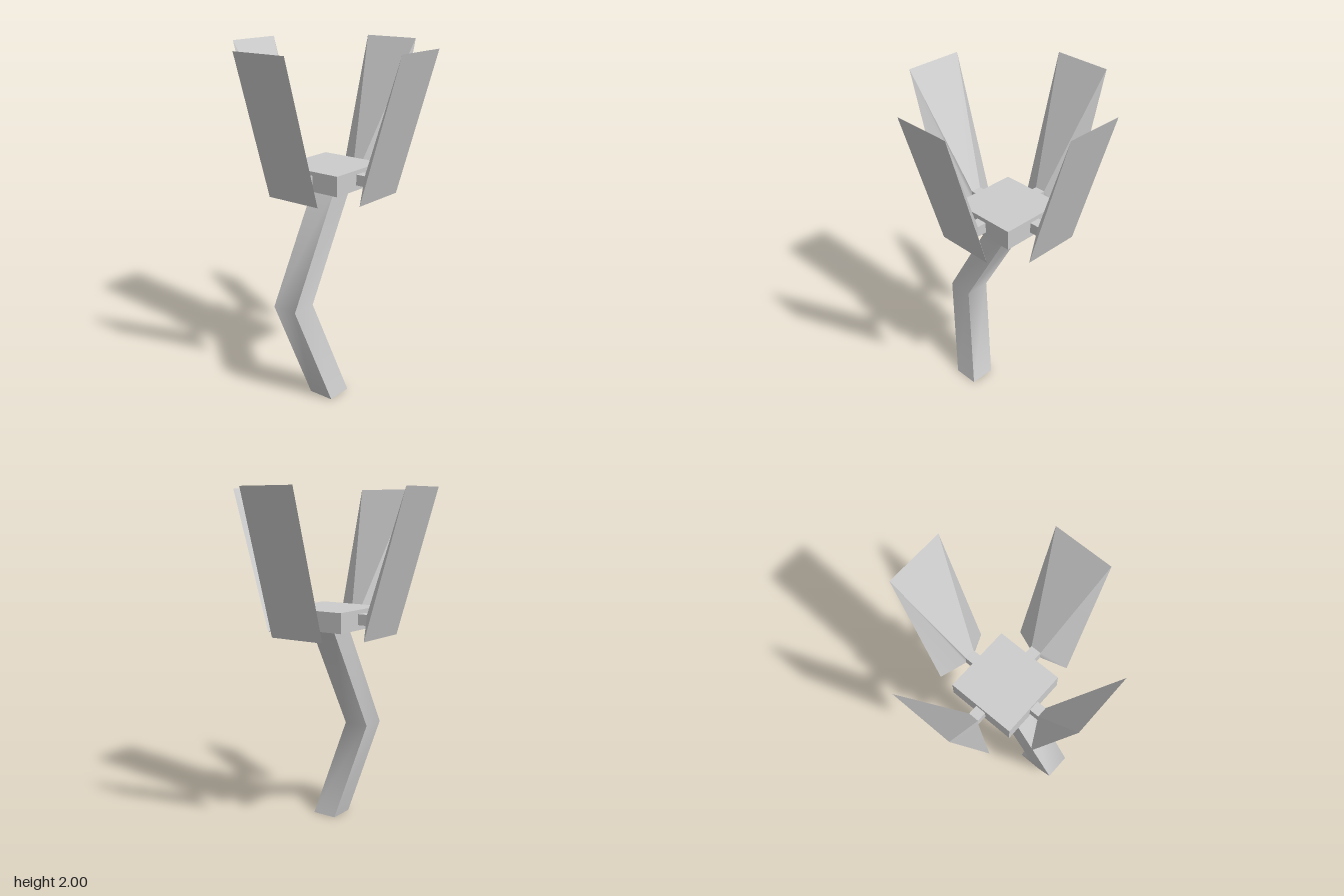
import * as THREE from 'three';

const material = new THREE.MeshStandardMaterial({ color: 0xcccccc });

// Joins four-cornered sections; corners run counter-clockwise seen from the last section.
// Each side is its own strip, so long edges stay sharp while bends shade smoothly.
function loft(sections) {
  const pos = [], index = [];
  const last = sections.length - 1;
  for (let j = 0; j < 4; j++) {
    const start = pos.length / 3;
    for (const s of sections) pos.push(...s[j], ...s[(j + 1) % 4]);
    for (let i = 0; i < last; i++) {
      const a = start + i * 2;
      index.push(a, a + 1, a + 3, a, a + 3, a + 2);
    }
  }
  for (const cap of [[...sections[0]].reverse(), sections[last]]) {
    const a = pos.length / 3;
    pos.push(...cap.flat());
    index.push(a, a + 1, a + 2, a, a + 2, a + 3);
  }
  const geo = new THREE.BufferGeometry();
  geo.setAttribute('position', new THREE.Float32BufferAttribute(pos, 3));
  geo.setIndex(index);
  geo.computeVertexNormals();
  return geo;
}

function add(parent, name, geo, x = 0, y = 0, z = 0) {
  const mesh = new THREE.Mesh(geo, material);
  mesh.name = name;
  mesh.position.set(x, y, z);
  parent.add(mesh);
  return mesh;
}

export function createModel() {
  const model = new THREE.Group();
  model.name = 'flower';

  // Bent square stem: horizontal sections from the ground up
  const h = 0.077;
  const square = (x, y, z) => [[x - h, y, z + h], [x + h, y, z + h], [x + h, y, z - h], [x - h, y, z - h]];
  add(model, 'stem', loft([square(0.13, 0, 0.182), square(0.004, 0.57, 0.347), square(-0.002, 1.217, -0.022)]));

  // Flat square flower head
  add(model, 'flowerHead', new THREE.BoxGeometry(0.408, 0.115, 0.408), 0, 1.272, 0);

  // Four petals, each on a short connector, flaring to a slanted outer face
  const petalGeo = loft([
    [[-0.032, 1.244, 0.262], [0.032, 1.244, 0.262], [0.032, 1.306, 0.262], [-0.032, 1.306, 0.262]],
    [[-0.173, 1.178, 0.333], [0.173, 1.178, 0.333], [0.173, 2, 0.58], [-0.173, 2, 0.58]],
  ]);
  const connectorGeo = new THREE.BoxGeometry(0.064, 0.062, 0.06);
  ['front', 'left', 'back', 'right'].forEach((side, i) => {
    const group = new THREE.Group();
    group.name = side + 'PetalGroup';
    group.rotation.y = i * Math.PI / 2;
    add(group, side + 'Connector', connectorGeo, 0, 1.275, 0.232);
    add(group, side + 'Petal', petalGeo);
    model.add(group);
  });

  return model;
}
